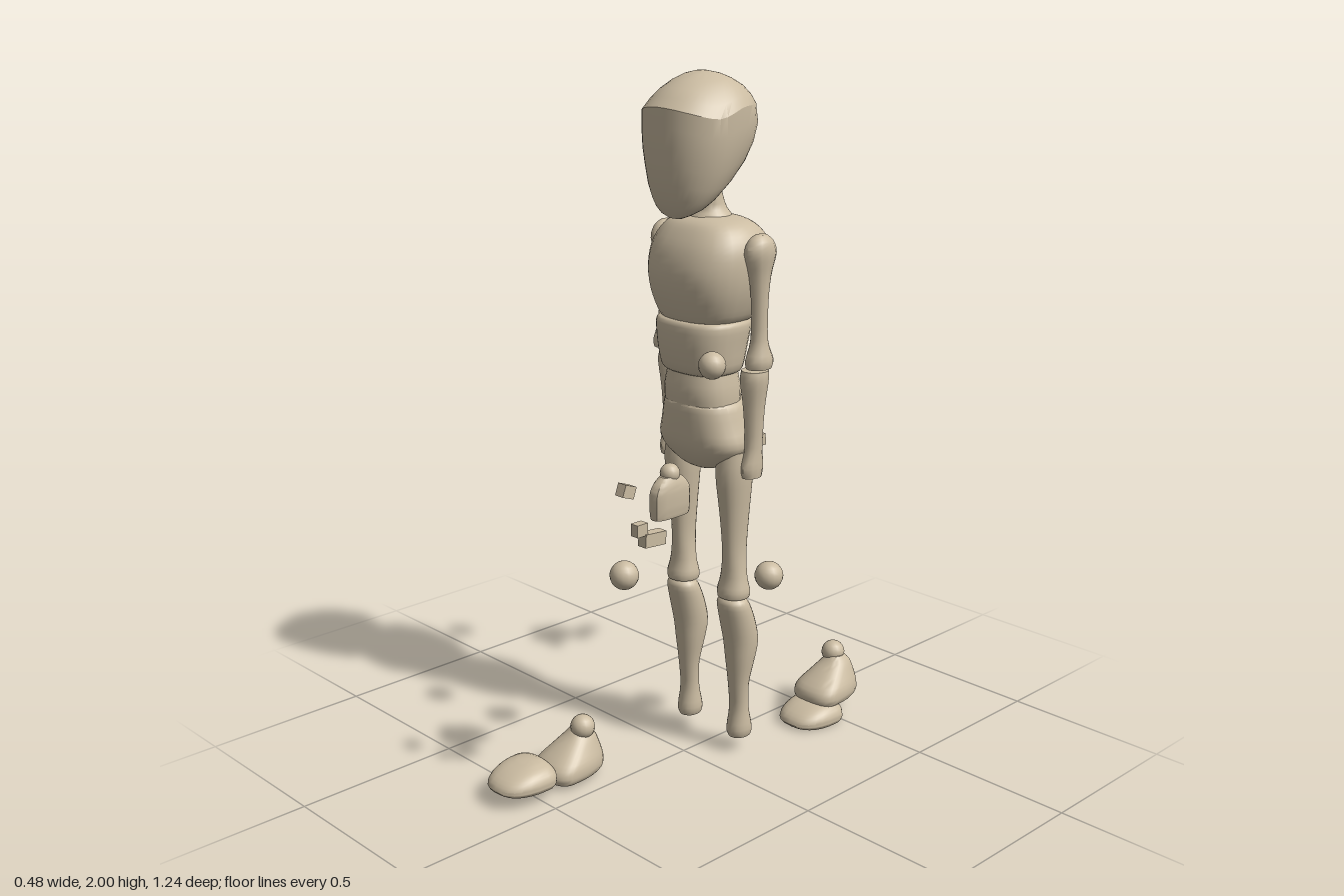
import * as THREE from 'three';
import { toCreasedNormals } from 'three/addons/utils/BufferGeometryUtils.js';

const tan = new THREE.MeshStandardMaterial({ color: 0xcbbca2 });
tan.name = 'tanWood';

// Insert in-between rows along a smooth curve
function refine(rows, steps) {
  const out = [];
  const at = (i) => rows[Math.min(rows.length - 1, Math.max(0, i))];
  for (let i = 0; i < rows.length - 1; i++) {
    for (let s = 0; s < steps; s++) {
      const t = s / steps;
      out.push(rows[i].map((_, k) => {
        const [a, b, c, d] = [at(i - 1)[k], at(i)[k], at(i + 1)[k], at(i + 2)[k]];
        return b + 0.5 * t * (c - a + t * (2 * a - 5 * b + 4 * c - d + t * (3 * (b - c) + d - a)));
      }));
    }
  }
  out.push(rows[rows.length - 1]);
  return out;
}

// Stack of rounded rings; row = [y, half width, front z, back z, z of widest point]
function loft(rows, { x = 0, power = 2.3, sides = 28, steps = 3, crease = 0.75, warp = null } = {}) {
  const full = rows.map((r) => [r[0], r[1], r[2], r[3], r[4] ?? (r[2] + r[3]) / 2]);
  const list = steps > 1 ? refine(full, steps) : full;
  const pos = [], index = [];
  const bend = (v) => Math.sign(v) * Math.abs(v) ** (2 / power);
  for (const [y, w, zf, zb, zc] of list) {
    for (let j = 0; j < sides; j++) {
      const a = (j / sides) * Math.PI * 2;
      const s = bend(Math.sin(a));
      const p = new THREE.Vector3(w * bend(Math.cos(a)), y, zc + s * (s > 0 ? zf - zc : zc - zb));
      if (warp) warp(p);
      pos.push(p.x + x, p.y, p.z);
    }
  }
  const n = list.length;
  for (let i = 0; i < n - 1; i++) {
    for (let j = 0; j < sides; j++) {
      const k = (j + 1) % sides;
      const a = i * sides + j, b = i * sides + k, c = a + sides, d = b + sides;
      index.push(a, c, b, b, c, d);
    }
  }
  const first = list[0], last = list[n - 1];
  pos.push(x, first[0], first[4], x, last[0], last[4]);
  const base = n * sides, top = (n - 1) * sides;
  for (let j = 0; j < sides; j++) {
    const k = (j + 1) % sides;
    index.push(base, j, k, base + 1, top + k, top + j);
  }
  const g = new THREE.BufferGeometry();
  g.setAttribute('position', new THREE.Float32BufferAttribute(pos, 3));
  g.setIndex(index);
  return toCreasedNormals(g, crease);
}

export function createModel() {
  const model = new THREE.Group();
  const add = (name, geo, px = 0, py = 0, pz = 0) => {
    const m = new THREE.Mesh(geo, tan);
    m.name = name;
    m.position.set(px, py, pz);
    model.add(m);
    return m;
  };
  const ball = (name, r, x, y, z) => add(name, new THREE.SphereGeometry(r, 16, 12), x, y, z);
  const box = (name, x, y, z, w, h, d, tilt = 0) => {
    add(name, new THREE.BoxGeometry(w, h, d), x, y, z).rotation.x = tilt;
  };

  // Head with a flat face and a brow edge that droops towards the sides
  add('head', loft([
    [1.612, 0.022, 0.045, 0.015, 0.03], [1.625, 0.05, 0.055, -0.005, 0.03],
    [1.645, 0.075, 0.066, -0.04, 0.015], [1.67, 0.094, 0.075, -0.08, 0],
    [1.71, 0.114, 0.086, -0.135, -0.02], [1.76, 0.13, 0.092, -0.183, -0.035],
    [1.81, 0.141, 0.096, -0.215, -0.04], [1.86, 0.147, 0.097, -0.23, -0.045],
    [1.912, 0.148, 0.096, -0.218, -0.045], [1.937, 0.133, 0.072, -0.203, -0.05],
    [1.96, 0.112, 0.045, -0.178, -0.06], [1.98, 0.082, 0.008, -0.145, -0.065],
    [1.993, 0.05, -0.025, -0.112, -0.07], [2, 0.015, -0.055, -0.08, -0.07],
  ], {
    power: 2.1, sides: 40, steps: 1, crease: 0.5,
    warp: (p) => { p.y -= 1.5 * p.x * p.x * THREE.MathUtils.smoothstep(p.z, -0.1, 0.02); },
  }));

  add('neck', loft([
    [1.59, 0.07, -0.03, -0.17], [1.61, 0.06, -0.045, -0.16],
    [1.64, 0.042, -0.055, -0.143], [1.74, 0.038, -0.03, -0.11],
  ], { power: 2 }));

  // Torso
  add('chest', loft([
    [1.325, 0.128, 0.02, -0.2], [1.345, 0.142, 0.03, -0.213], [1.4, 0.162, 0.047, -0.238],
    [1.46, 0.172, 0.052, -0.256], [1.52, 0.17, 0.037, -0.25], [1.565, 0.15, 0.012, -0.225],
    [1.595, 0.115, -0.015, -0.19], [1.608, 0.06, -0.05, -0.155],
  ], { power: 2.5 }));
  add('ribs', loft([
    [1.17, 0.1, 0.005, -0.15], [1.185, 0.12, 0.022, -0.165], [1.25, 0.13, 0.035, -0.18],
    [1.31, 0.137, 0.035, -0.19], [1.325, 0.128, 0.025, -0.18],
  ], { power: 2.5 }));
  add('waist', loft([
    [1.06, 0.112, 0.012, -0.165], [1.12, 0.113, 0.018, -0.165], [1.175, 0.105, 0.008, -0.155],
  ], { power: 2.4 }));
  add('pelvis', loft([
    [0.882, 0.04, -0.06, -0.14], [0.895, 0.075, -0.035, -0.165], [0.925, 0.125, -0.01, -0.19],
    [0.965, 0.153, 0.008, -0.203], [1.02, 0.137, 0.015, -0.203], [1.08, 0.118, 0.017, -0.185],
    [1.09, 0.108, 0.01, -0.175],
  ], {
    power: 2.4,
    // Cleft at the back
    warp: (p) => { if (p.z < -0.12 && p.y < 1.03) p.z += 0.02 * Math.exp(-((p.x / 0.02) ** 2)); },
  }));

  for (const s of [-1, 1]) {
    const side = s > 0 ? 'left' : 'right';

    // Arms
    add(side + 'UpperArm', loft([
      [1.2, 0.032, -0.07, -0.15], [1.225, 0.036, -0.068, -0.155], [1.28, 0.025, -0.085, -0.135],
      [1.38, 0.024, -0.085, -0.135], [1.46, 0.028, -0.075, -0.145], [1.52, 0.036, -0.058, -0.163],
      [1.555, 0.03, -0.07, -0.15], [1.572, 0.012, -0.09, -0.13],
    ], { x: s * 0.185, power: 2, sides: 12 }));
    add(side + 'Forearm', loft([
      [0.88, 0.022, -0.075, -0.14], [0.91, 0.025, -0.07, -0.145], [0.97, 0.024, -0.085, -0.14],
      [1.08, 0.03, -0.08, -0.145], [1.16, 0.04, -0.07, -0.155], [1.19, 0.038, -0.075, -0.155],
    ], { x: s * 0.166, power: 2, sides: 12 }));

    // Legs
    add(side + 'Thigh', loft([
      [0.505, 0.047, -0.055, -0.145], [0.525, 0.05, -0.055, -0.145], [0.57, 0.04, -0.065, -0.137],
      [0.65, 0.032, -0.064, -0.14], [0.76, 0.039, -0.055, -0.147], [0.88, 0.05, -0.042, -0.155],
      [0.95, 0.048, -0.05, -0.15],
    ], { x: s * 0.105, power: 2.1, sides: 20 }));
    add(side + 'Shin', loft([
      [0.05, 0.03, -0.095, -0.165], [0.075, 0.036, -0.09, -0.168], [0.14, 0.03, -0.1, -0.155],
      [0.22, 0.033, -0.095, -0.153], [0.3, 0.045, -0.087, -0.172], [0.36, 0.051, -0.08, -0.183],
      [0.43, 0.053, -0.065, -0.165], [0.485, 0.05, -0.055, -0.14], [0.502, 0.035, -0.065, -0.125],
    ], { x: s * 0.105, power: 2.1, sides: 20 }));

    // Loose feet
    const heel = add(side + 'Foot', loft([
      [0.015, 0.07, 0.435, 0.25, 0.39], [0.03, 0.079, 0.445, 0.24, 0.39],
      [0.06, 0.077, 0.437, 0.242, 0.38], [0.095, 0.058, 0.395, 0.252, 0.34],
      [0.125, 0.04, 0.355, 0.265, 0.31], [0.145, 0.025, 0.335, 0.285, 0.31],
    ], { x: s * 0.117, power: 2.4 }));
    const toe = add(side + 'Toes', loft([
      [0.038, 0.08, 0.605, 0.445, 0.49], [0.052, 0.088, 0.62, 0.437, 0.49],
      [0.075, 0.084, 0.605, 0.437, 0.49], [0.095, 0.067, 0.565, 0.45, 0.49],
      [0.107, 0.035, 0.52, 0.465, 0.49],
    ], { x: s * 0.12, power: 2.5 }));
    if (s > 0) {
      heel.position.set(0, 0.038, -0.86);
      toe.position.set(0, -0.038, -0.955);
    }
    ball(side + 'AnkleBall', 0.036, s * 0.104, s > 0 ? 0.186 : 0.15, s > 0 ? -0.553 : 0.307);

    // Loose hand: rounded-shoulder palm with its wrist ball
    const [hy, hz] = s > 0 ? [0.865, 0.257] : [0.843, -0.43];
    add(side + 'Palm', loft([
      [0, 0.022, 0.062, -0.062], [0.02, 0.026, 0.064, -0.064], [0.07, 0.028, 0.063, -0.063],
      [0.095, 0.025, 0.05, -0.05], [0.113, 0.018, 0.03, -0.03],
    ], { power: 3, sides: 16, crease: 0.5 }), s * 0.213, hy, hz);
    ball(side + 'WristBall', 0.027, s * 0.21, hy + 0.118, hz - 0.003);
  }

  // Loose elbow and knee balls
  ball('leftElbowBall', 0.038, 0.187, 1.24, 0.075);
  ball('rightElbowBall', 0.038, -0.187, 1.23, -0.28);
  ball('leftKneeBall', 0.043, 0.105, 0.525, -0.25);
  ball('rightKneeBall', 0.043, -0.105, 0.572, 0.138);

  // Loose fingers and thumbs
  box('leftFingers', 0.224, 0.823, 0.332, 0.03, 0.037, 0.073, -0.08);
  box('leftFingertips', 0.222, 0.858, 0.376, 0.026, 0.034, 0.036);
  box('leftThumb', 0.19, 0.96, 0.393, 0.03, 0.034, 0.04, -0.35);
  box('rightFingers', -0.224, 0.812, -0.528, 0.03, 0.037, 0.073, 0.06);
  box('rightFingertips', -0.224, 0.781, -0.478, 0.026, 0.037, 0.038);
  box('rightThumb', -0.195, 0.832, -0.379, 0.026, 0.03, 0.038, -0.35);

  return model;
}
